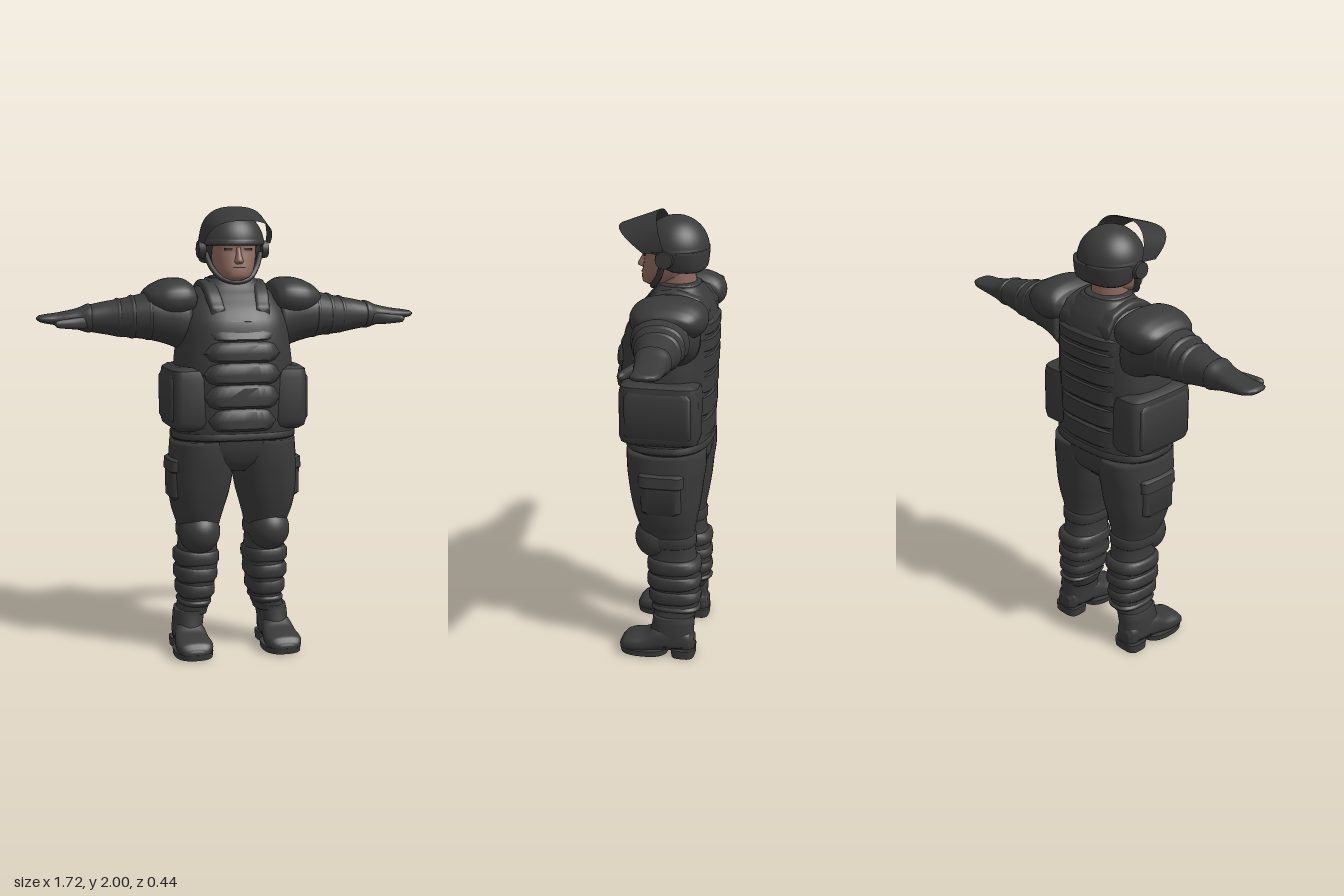
import * as THREE from 'three';
import { toCreasedNormals } from 'three/addons/utils/BufferGeometryUtils.js';
import { ParametricGeometry } from 'three/addons/geometries/ParametricGeometry.js';

const material = (name, color, side = THREE.FrontSide) => {
  const m = new THREE.MeshStandardMaterial({ color, side });
  m.name = name;
  return m;
};

// Smooth interpolation between section rows
const cubic = (a, b, c, d, t) =>
  b + 0.5 * t * (c - a + t * (2 * a - 5 * b + 4 * c - d + t * (3 * (b - c) + d - a)));

// Skin over superellipse sections [pos, a0, a1, b0, b1, power].
// Axis x: a = y, b = z. Axis y: a = z, b = x. Axis z: a = x, b = y.
function loft(axis, rows, { sub = 4, sides = 32, n = 2.4 } = {}) {
  const all = rows.map(r => [...r.slice(0, 5), r[5] ?? n]);
  const rings = [];
  for (let i = 0; i < all.length - 1; i++) {
    const p = [all[Math.max(i - 1, 0)], all[i], all[i + 1], all[Math.min(i + 2, all.length - 1)]];
    for (let k = 0; k < sub; k++)
      rings.push(p[1].map((_, j) => (j === 0 || j === 5)
        ? p[1][j] + (p[2][j] - p[1][j]) * k / sub
        : cubic(p[0][j], p[1][j], p[2][j], p[3][j], k / sub)));
  }
  rings.push(all.at(-1));
  const pos = [], index = [];
  const put = (p, a, b) => pos.push(...(axis === 'x' ? [p, a, b] : axis === 'y' ? [b, p, a] : [a, b, p]));
  const pw = (v, e) => Math.sign(v) * Math.abs(v) ** (2 / e);
  for (const [p, a0, a1, b0, b1, e] of rings)
    for (let s = 0; s < sides; s++) {
      const t = s / sides * Math.PI * 2;
      put(p, (a0 + a1) / 2 + (a1 - a0) / 2 * pw(Math.cos(t), e), (b0 + b1) / 2 + (b1 - b0) / 2 * pw(Math.sin(t), e));
    }
  for (let r = 0; r < rings.length - 1; r++)
    for (let s = 0; s < sides; s++) {
      const a = r * sides + s, b = r * sides + (s + 1) % sides;
      index.push(a, b, b + sides, a, b + sides, a + sides);
    }
  const c = pos.length / 3, last = (rings.length - 1) * sides;
  for (const [p, a0, a1, b0, b1] of [rings[0], rings.at(-1)]) put(p, (a0 + a1) / 2, (b0 + b1) / 2);
  for (let s = 0; s < sides; s++) {
    const q = (s + 1) % sides;
    index.push(c, q, s, c + 1, last + s, last + q);
  }
  const g = new THREE.BufferGeometry();
  g.setAttribute('position', new THREE.Float32BufferAttribute(pos, 3));
  g.setIndex(index);
  g.computeVertexNormals();
  return g;
}
const hard = (axis, rows, n = 4) => toCreasedNormals(loft(axis, rows, { sub: 1, n }), 0.75);

function mirrored(geometry) {
  const g = geometry.clone().applyMatrix4(new THREE.Matrix4().makeScale(-1, 1, 1));
  const idx = g.index ? [...g.index.array] : Array.from({ length: g.attributes.position.count }, (_, i) => i);
  for (let i = 0; i < idx.length; i += 3) [idx[i], idx[i + 1]] = [idx[i + 1], idx[i]];
  g.setIndex(idx);
  return g;
}

export function createModel() {
  const model = new THREE.Group();
  model.name = 'armouredOfficer';
  const armour = material('armour grey', 0x3a3a3a);
  const shield = material('visor grey', 0x383838, THREE.DoubleSide);
  const skin = material('skin', 0x8f6a5f);
  const dark = material('face dark', 0x2a2422);

  const add = (name, geometry, mat = armour) => {
    const mesh = new THREE.Mesh(geometry, mat);
    mesh.name = name;
    model.add(mesh);
  };
  const pair = (name, geometry, mat) => {
    add('left ' + name, geometry, mat);
    add('right ' + name, mirrored(geometry), mat);
  };
  const ball = (x, y, z, rx, ry, rz) =>
    new THREE.SphereGeometry(1, 32, 20).scale(rx, ry, rz).translate(x, y, z);

  // Hips and vest body
  add('hips', loft('y', [
    [0.84, -0.13, 0.11, -0.07, 0.07], [0.88, -0.17, 0.145, -0.19, 0.19], [0.94, -0.19, 0.165, -0.265, 0.265],
    [1.02, -0.19, 0.17, -0.272, 0.272]]));
  add('vest', loft('y', [
    [0.985, -0.195, 0.18, -0.275, 0.275], [1.03, -0.195, 0.19, -0.275, 0.275], [1.1, -0.19, 0.195, -0.268, 0.268],
    [1.2, -0.195, 0.2, -0.265, 0.265], [1.32, -0.203, 0.205, -0.262, 0.262], [1.42, -0.208, 0.2, -0.25, 0.25],
    [1.5, -0.21, 0.185, -0.24, 0.24], [1.56, -0.205, 0.15, -0.225, 0.225], [1.62, -0.185, 0.1, -0.19, 0.19],
    [1.66, -0.16, 0.065, -0.145, 0.145], [1.69, -0.14, 0.045, -0.11, 0.11]], { n: 2.6 }));
  add('vest hem', loft('y', [
    [0.985, -0.195, 0.175, -0.27, 0.27], [0.99, -0.2, 0.187, -0.28, 0.28],
    [1.015, -0.2, 0.19, -0.28, 0.28], [1.022, -0.193, 0.18, -0.27, 0.27]], { sub: 1, n: 2.6 }));

  // Overlapping front and back bands
  const bands = [[1.03, 1.13, 0.165, 0.212], [1.13, 1.235, 0.18, 0.218], [1.235, 1.33, 0.185, 0.221],
    [1.33, 1.42, 0.18, 0.22], [1.42, 1.495, 0.165, 0.208], [1.495, 1.56, 0.14, 0.182]];
  bands.forEach(([y0, y1, w, z], i) => {
    const m = (y1 - y0) * 0.45, lean = i > 3 ? 0.022 : 0;
    add('front band ' + (i + 1), hard('y', [
      [y0, -0.02, z - 0.015, 0.03 - w, w - 0.03], [y0 + 0.012, -0.02, z, 0.02 - w, w - 0.02],
      [y0 + m, -0.02, z - lean / 2, -w, w], [y1 - 0.014, -0.02, z - 0.003 - lean, 0.022 - w, w - 0.022],
      [y1, -0.02, z - 0.018 - lean, 0.032 - w, w - 0.032]], 3.6));
    const b = -0.2 - 0.017 * Math.min(1, Math.max(0, (y0 - 1) / 0.4));
    add('back band ' + (i + 1), hard('y', [
      [y0, b + 0.012, 0, -0.17, 0.17], [y0 + 0.012, b, 0, -0.19, 0.19],
      [y1 - 0.014, b, 0, -0.19, 0.19], [y1, b + 0.014, 0, -0.17, 0.17]], 2.8));
  });

  // Side plates, shoulder straps, collar
  pair('side plate', hard('y', [
    [1.03, -0.14, 0.145, 0.17, 0.28], [1.045, -0.168, 0.168, 0.14, 0.302], [1.07, -0.175, 0.176, 0.13, 0.308],
    [1.26, -0.175, 0.176, 0.13, 0.308], [1.295, -0.168, 0.168, 0.14, 0.302], [1.31, -0.14, 0.145, 0.17, 0.28]], 5));
  pair('side plate panel', hard('y', [
    [1.065, -0.13, 0.13, 0.25, 0.304], [1.08, -0.145, 0.145, 0.25, 0.313],
    [1.255, -0.145, 0.145, 0.25, 0.313], [1.275, -0.13, 0.13, 0.25, 0.304]], 8));
  pair('shoulder strap', loft('z', [
    [-0.19, 0.08, 0.15, 1.55, 1.6], [-0.15, 0.08, 0.15, 1.6, 1.655], [-0.05, 0.085, 0.15, 1.63, 1.684],
    [0.04, 0.08, 0.145, 1.6, 1.668], [0.1, 0.075, 0.14, 1.56, 1.625], [0.15, 0.07, 0.13, 1.52, 1.57]], { n: 4 }));
  add('collar', loft('y', [
    [1.61, -0.17, 0.09, -0.13, 0.13], [1.66, -0.145, 0.065, -0.11, 0.11], [1.695, -0.135, 0.05, -0.1, 0.1],
    [1.7, -0.12, 0.035, -0.085, 0.085]]));
  add('neck', new THREE.CylinderGeometry(0.078, 0.08, 0.12, 24).translate(0, 1.7, -0.035), skin);

  // Arms, gloves and shoulder pads
  pair('arm', loft('x', [
    [0.2, 1.36, 1.64, -0.17, 0.1], [0.28, 1.395, 1.645, -0.16, 0.1], [0.36, 1.418, 1.635, -0.152, 0.095],
    [0.44, 1.43, 1.615, -0.146, 0.075], [0.5, 1.435, 1.602, -0.14, 0.055], [0.56, 1.446, 1.592, -0.13, 0.036],
    [0.63, 1.458, 1.578, -0.124, 0.022], [0.66, 1.466, 1.567, -0.118, 0.012]], { n: 2.2 }));
  [0.38, 0.45, 0.51].forEach((x, i) => pair('sleeve fold ' + (i + 1), loft('x', [
    [x - 0.025, 1.43 + i * 0.008, 1.61 - i * 0.012, -0.14 + i * 0.004, 0.07 - i * 0.02],
    [x, 1.419 + i * 0.008, 1.632 - i * 0.013, -0.153 + i * 0.005, 0.095 - i * 0.02],
    [x + 0.03, 1.433 + i * 0.008, 1.605 - i * 0.012, -0.138 + i * 0.004, 0.065 - i * 0.02]], { n: 2.2 })));
  pair('glove', loft('x', [
    [0.625, 1.46, 1.575, -0.122, 0.018], [0.635, 1.455, 1.582, -0.127, 0.025], [0.68, 1.468, 1.564, -0.12, 0.014],
    [0.73, 1.48, 1.552, -0.12, 0.008], [0.78, 1.49, 1.543, -0.12, 0.0], [0.82, 1.497, 1.538, -0.117, 0.0],
    [0.85, 1.505, 1.533, -0.1, -0.005], [0.862, 1.515, 1.525, -0.07, -0.025]]));
  pair('thumb', loft('x', [
    [0.64, 1.475, 1.53, -0.03, 0.015], [0.7, 1.475, 1.525, -0.005, 0.04], [0.75, 1.48, 1.52, 0.018, 0.053],
    [0.785, 1.485, 1.515, 0.03, 0.06], [0.795, 1.495, 1.505, 0.042, 0.052]], { sides: 16 }));
  pair('shoulder pad', loft('x', [
    [0.17, 1.57, 1.63, -0.15, 0.06], [0.185, 1.535, 1.665, -0.19, 0.095], [0.22, 1.515, 1.688, -0.207, 0.112],
    [0.27, 1.505, 1.692, -0.21, 0.118], [0.32, 1.515, 1.682, -0.2, 0.112], [0.365, 1.54, 1.66, -0.175, 0.09],
    [0.39, 1.57, 1.637, -0.14, 0.06], [0.4, 1.6, 1.617, -0.08, 0.0]], { n: 2.3 }));

  // Legs with cargo pockets, knee pads and shin guards
  pair('leg', loft('y', [
    [0.17, -0.14, 0.035, 0.115, 0.255], [0.2, -0.155, 0.04, 0.105, 0.245], [0.26, -0.165, 0.05, 0.088, 0.24],
    [0.34, -0.167, 0.062, 0.075, 0.248], [0.42, -0.16, 0.063, 0.063, 0.252], [0.5, -0.145, 0.065, 0.07, 0.243],
    [0.58, -0.142, 0.09, 0.065, 0.25], [0.66, -0.155, 0.118, 0.045, 0.275], [0.74, -0.168, 0.14, 0.022, 0.288],
    [0.83, -0.178, 0.155, 0.006, 0.29], [0.9, -0.188, 0.163, 0.0, 0.286], [0.98, -0.188, 0.165, 0.0, 0.28]]));
  pair('cargo pocket', hard('y', [
    [0.71, -0.08, 0.06, 0.2, 0.285], [0.725, -0.1, 0.08, 0.2, 0.297],
    [0.85, -0.1, 0.08, 0.2, 0.298], [0.86, -0.09, 0.07, 0.2, 0.285]], 5));
  pair('pocket flap', hard('y', [
    [0.835, -0.1, 0.08, 0.2, 0.295], [0.842, -0.11, 0.09, 0.2, 0.304],
    [0.89, -0.11, 0.09, 0.2, 0.3], [0.9, -0.1, 0.08, 0.2, 0.285]], 5));
  pair('knee pad', ball(0.162, 0.558, 0.032, 0.094, 0.098, 0.095));
  pair('knee strap', loft('y', [
    [0.525, -0.14, 0.08, 0.075, 0.24], [0.535, -0.15, 0.09, 0.062, 0.252],
    [0.575, -0.15, 0.1, 0.06, 0.255], [0.585, -0.142, 0.09, 0.068, 0.247]], { sub: 1 }));
  [[0.205, 0.245], [0.25, 0.32], [0.325, 0.395], [0.4, 0.47]].forEach(([a, b], i) => {
    const o = [0.245, 0.252, 0.26, 0.262][i], n = [0.095, 0.08, 0.068, 0.06][i], f = [0.05, 0.062, 0.07, 0.07][i];
    pair('shin band ' + (i + 1), loft('y', [
      [a, -0.15, f - 0.012, n + 0.012, o - 0.012], [a + 0.015, -0.173, f, n, o],
      [b - 0.015, -0.17, f, n, o], [b, -0.145, f - 0.012, n + 0.012, o - 0.012]], { sub: 2, n: 2.6 }));
  });

  // Boots
  pair('boot shaft', loft('y', [
    [0.05, -0.15, 0.06, 0.14, 0.268], [0.12, -0.148, 0.05, 0.135, 0.268], [0.165, -0.15, 0.042, 0.128, 0.265],
    [0.19, -0.148, 0.04, 0.122, 0.26]]));
  pair('boot foot', loft('z', [
    [-0.152, 0.17, 0.24, 0.03, 0.1], [-0.13, 0.15, 0.26, 0.02, 0.13], [-0.06, 0.142, 0.268, 0.02, 0.15],
    [0.02, 0.135, 0.275, 0.018, 0.14], [0.07, 0.127, 0.284, 0.015, 0.105], [0.13, 0.122, 0.288, 0.015, 0.092],
    [0.165, 0.134, 0.28, 0.018, 0.08], [0.183, 0.155, 0.262, 0.022, 0.06], [0.19, 0.18, 0.235, 0.03, 0.045]], { n: 2.6 }));
  pair('boot heel', hard('y', [[0, -0.155, -0.05, 0.14, 0.272], [0.04, -0.157, -0.045, 0.138, 0.274]], 3.5));
  pair('boot sole', hard('y', [[0.006, -0.03, 0.188, 0.12, 0.29], [0.032, -0.035, 0.192, 0.117, 0.292]], 2.6));

  // Head and face
  add('head', loft('y', [
    [1.682, 0.04, 0.1, -0.03, 0.03], [1.695, -0.02, 0.118, -0.06, 0.06], [1.725, -0.08, 0.12, -0.083, 0.083],
    [1.775, -0.11, 0.113, -0.096, 0.096], [1.815, -0.12, 0.107, -0.1, 0.1], [1.87, -0.12, 0.11, -0.1, 0.1]], { n: 2.6 }), skin);
  add('nose', loft('y', [
    [1.752, 0.09, 0.122, -0.014, 0.014], [1.763, 0.08, 0.143, -0.019, 0.019],
    [1.79, 0.08, 0.13, -0.013, 0.013], [1.825, 0.08, 0.113, -0.01, 0.01]], { sides: 16 }), skin);
  add('mouth', new THREE.BoxGeometry(0.055, 0.005, 0.008).translate(0, 1.738, 0.116), dark);
  pair('eye', new THREE.BoxGeometry(0.04, 0.012, 0.009).translate(0.04, 1.816, 0.101), dark);
  const strap = new THREE.CatmullRomCurve3([[-0.125, 1.8, 0.01], [-0.1, 1.735, 0.03], [-0.06, 1.69, 0.06], [0, 1.675, 0.075],
    [0.06, 1.69, 0.06], [0.1, 1.735, 0.03], [0.125, 1.8, 0.01]].map(p => new THREE.Vector3(...p)));
  add('chin strap', new THREE.TubeGeometry(strap, 40, 0.013, 8));

  // Helmet, hinges and raised visor
  add('helmet dome', new THREE.SphereGeometry(1, 40, 16, 0, Math.PI * 2, 0, Math.PI / 2)
    .scale(0.146, 0.142, 0.143).translate(0, 1.84, -0.028));
  add('helmet brow', loft('y', [
    [1.832, -0.165, 0.11, -0.14, 0.14], [1.836, -0.171, 0.119, -0.148, 0.148],
    [1.855, -0.171, 0.117, -0.147, 0.147], [1.862, -0.165, 0.108, -0.14, 0.14]], { sub: 1, n: 2 }));
  add('helmet nape', loft('y', [
    [1.755, -0.15, 0.0, -0.118, 0.118], [1.765, -0.162, 0.02, -0.132, 0.132],
    [1.8, -0.168, 0.04, -0.141, 0.141], [1.845, -0.171, 0.06, -0.146, 0.146]], { n: 2.5 }));
  pair('visor hinge', new THREE.CylinderGeometry(0.036, 0.042, 0.03, 24).rotateZ(-Math.PI / 2).translate(0.143, 1.815, 0));
  add('visor', new ParametricGeometry((u, v, p) => {
    const t = Math.PI * u;
    const c = Math.sign(Math.cos(t)) * Math.abs(Math.cos(t)) ** 0.75, s = Math.abs(Math.sin(t)) ** 0.75;
    p.set((0.153 - 0.006 * v) * c, 1.85 - 0.01 * v + s * (0.15 - 0.053 * v), 0.09 * v + s * (0.045 + 0.08 * v));
  }, 40, 8), shield);
  return model;
}
